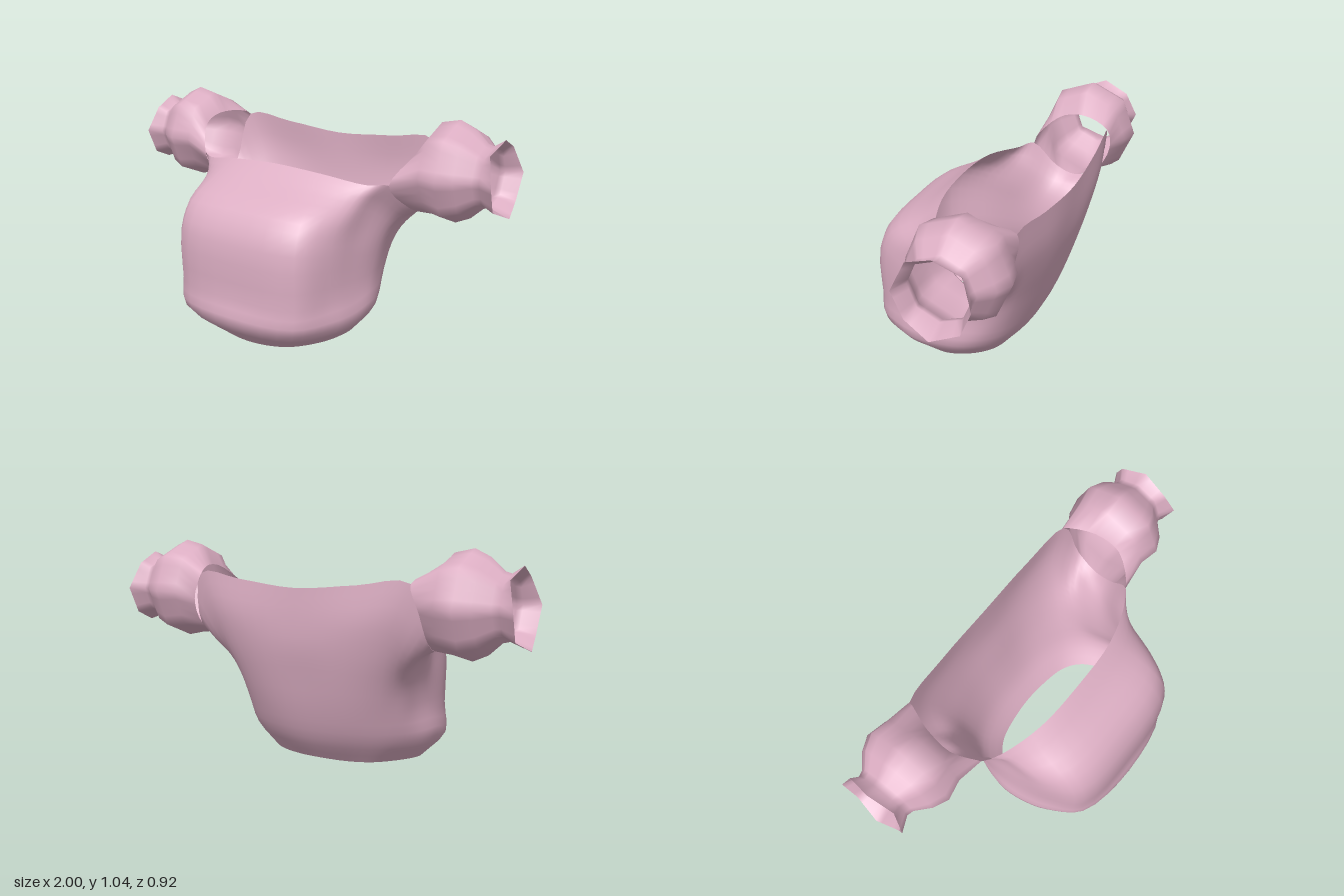
import * as THREE from 'three';

const V = (p) => new THREE.Vector3(...p);

// Skin a stack of closed rings that all have the same number of points
function loft(rings, material, name) {
  const n = rings[0].length, pos = [], idx = [];
  rings.forEach((ring) => ring.forEach((p) => pos.push(p.x, p.y, p.z)));
  for (let j = 0; j < rings.length - 1; j++) {
    for (let i = 0; i < n; i++) {
      const a = j * n + i, b = j * n + (i + 1) % n;
      idx.push(a, b, b + n, a, b + n, a + n);
    }
  }
  const g = new THREE.BufferGeometry();
  g.setAttribute('position', new THREE.Float32BufferAttribute(pos, 3));
  g.setIndex(idx);
  g.computeVertexNormals();
  const mesh = new THREE.Mesh(g, material);
  mesh.name = name;
  return mesh;
}

// Lengthwise lines of the bodice, hem to top edge, on the left half
const front = [[0, 0, .325], [0, .13, .46], [0, .25, .445], [0, .5, .44], [0, .64, .37], [0, .735, .22], [0, .81, .12]];
const frontCorner = [[.2, .01, .285], [.31, .13, .40], [.32, .25, .40], [.32, .5, .40], [.31, .63, .34], [.29, .72, .2], [.25, .795, .105]];
const frontSide = [[.32, .03, .18], [.42, .14, .25], [.41, .27, .25], [.41, .48, .26], [.41, .6, .22], [.42, .69, .11], [.45, .76, .04]];
const armFront = [[.365, .045, .1], [.455, .15, .15], [.445, .28, .13], [.44, .45, .1], [.44, .57, .05], [.465, .67, .01], [.53, .76, -.01]];
const sideSeam = [[.38, .055, .03], [.47, .17, .04], [.455, .3, 0], [.455, .42, -.04], [.475, .52, -.08], [.51, .585, -.11], [.565, .645, -.12]];
const underarm = [[.36, .06, -.05], [.45, .17, -.06], [.44, .3, -.1], [.45, .42, -.13], [.475, .51, -.18], [.52, .575, -.21], [.58, .605, -.22]];
const armBack = [[.31, .06, -.12], [.40, .17, -.15], [.41, .3, -.2], [.43, .42, -.23], [.46, .51, -.28], [.52, .58, -.31], [.59, .66, -.33]];
const backCorner = [[.24, .055, -.165], [.32, .17, -.22], [.34, .3, -.27], [.37, .44, -.315], [.41, .58, -.36], [.47, .74, -.39], [.54, .9, -.385]];
const backMid = [[.13, .05, -.19], [.17, .165, -.27], [.19, .3, -.325], [.21, .45, -.37], [.24, .6, -.405], [.28, .74, -.42], [.3, .885, -.41]];
const back = [[0, .05, -.2], [0, .16, -.28], [0, .3, -.335], [0, .45, -.375], [0, .6, -.41], [0, .73, -.42], [0, .86, -.42]];

function makeBodice(material) {
  const lines = [front, frontCorner, frontSide, armFront, sideSeam, underarm, armBack, backCorner, backMid, back]
    .map((l) => new THREE.CatmullRomCurve3(l.map(V)));
  const rings = [], levels = 18;
  for (let j = 0; j <= levels; j++) {
    const half = lines.map((l) => l.getPoint(j / levels));
    const other = half.slice(1, -1).reverse().map((p) => new THREE.Vector3(-p.x, p.y, p.z));
    const curve = new THREE.CatmullRomCurve3([...half, ...other], true);
    rings.push(Array.from({ length: 72 }, (_, i) => curve.getPoint(i / 72)));
  }
  return loft(rings, material, 'bodice');
}

// Eight-sided puff sleeve, starting on the armhole edge of the bodice
function makeSleeve(side, material, name) {
  const steps = 4, n = 8 * steps;
  const armhole = new THREE.CatmullRomCurve3([
    [.59, .93, -.24], [.6, .89, -.11], armFront[6], sideSeam[6],
    underarm[6], armBack[6], [.58, .78, -.39], backCorner[6],
  ].map(V), true);
  const rings = [Array.from({ length: n }, (_, i) => armhole.getPoint(i / n))];

  // x, radius, jaggedness of the edge
  const profile = [[.66, .212, 0], [.75, .232, 0], [.82, .2, 0], [.88, .145, 0], [.91, .137, 0], [.97, .17, .02]];
  for (const [x, r, jag] of profile) {
    const corners = Array.from({ length: 8 }, (_, k) => {
      const a = k * Math.PI / 4;
      const dx = jag * (-Math.cos(a) + (k % 2 ? -.5 : .5));
      return new THREE.Vector3(x + dx, .81 + r * Math.cos(a), -.23 + r * Math.sin(a));
    });
    rings.push(Array.from({ length: n }, (_, i) => {
      const k = Math.floor(i / steps);
      return corners[k].clone().lerp(corners[(k + 1) % 8], (i % steps) / steps);
    }));
  }
  if (side < 0) {
    rings.forEach((ring) => { ring.forEach((p) => { p.x *= -1; }); ring.reverse(); });
  }
  return loft(rings, material, name);
}

export function createModel() {
  const cloth = new THREE.MeshStandardMaterial({ color: 0xdcaec3, side: THREE.DoubleSide });
  cloth.name = 'pink cloth';
  const group = new THREE.Group();
  group.name = 'blouse';
  group.add(makeBodice(cloth));
  group.add(makeSleeve(1, cloth, 'leftSleeve'));
  group.add(makeSleeve(-1, cloth, 'rightSleeve'));
  return group;
}
